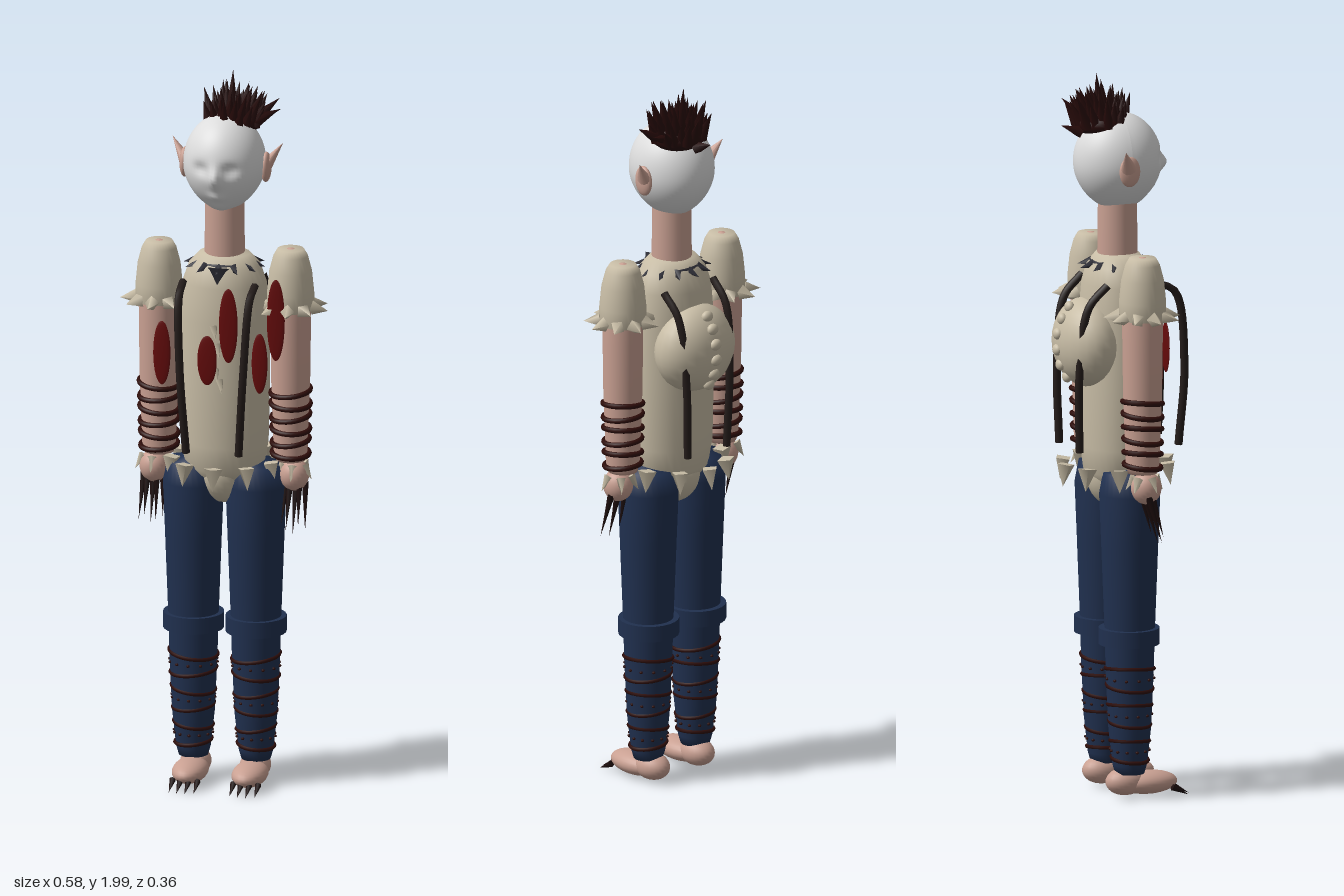
import * as THREE from 'three';

const mat = (name, color, opts = {}) => {
  const m = new THREE.MeshStandardMaterial({ color, ...opts });
  m.name = name;
  return m;
};

export function createModel() {
  const root = new THREE.Group();
  root.name = 'spikedFigure';
  const skin = mat('skin', 0xc9a092), bone = mat('bone', 0xc8bda6), navy = mat('navy', 0x20304f),
    white = mat('paleHead', 0xdcdcdc), hairMat = mat('hair', 0x260908), wrapMat = mat('wrap', 0x2e0d0a),
    claw = mat('claw', 0x1c0d0d), strapMat = mat('strap', 0x241c1a), collarMat = mat('collar', 0x31313a),
    blood = mat('blood', 0x640b0b);

  const add = (name, geo, m, x = 0, y = 0, z = 0, parent = root) => {
    const mesh = new THREE.Mesh(geo, m);
    mesh.name = name;
    mesh.position.set(x, y, z);
    parent.add(mesh);
    return mesh;
  };
  const ball = (name, m, x, y, z, rx, ry, rz, parent) => {
    const b = add(name, new THREE.SphereGeometry(1, 24, 16), m, x, y, z, parent);
    b.scale.set(rx, ry, rz);
    return b;
  };
  const lathe = (pts, seg = 32) => new THREE.LatheGeometry(pts.map(p => new THREE.Vector2(...p)), seg);
  const up = new THREE.Vector3(0, 1, 0);
  // Cone whose base centre sits at (x, y, z) and points along dir
  const spike = (name, m, [x, y, z], dir, len, r, sides = 4, parent = root) => {
    const g = new THREE.ConeGeometry(r, len, sides).translate(0, len / 2, 0);
    const c = add(name, g, m, x, y, z, parent);
    c.quaternion.setFromUnitVectors(up, new THREE.Vector3(...dir).normalize());
    return c;
  };
  let seed = 7;
  const rnd = () => (seed = (seed * 16807) % 2147483647) / 2147483647;

  // Head: ellipsoid narrowed at the chin, with nose, brow, sockets and lips
  const head = new THREE.SphereGeometry(1, 64, 48);
  const p = head.attributes.position;
  const bump = (x, y, cx, cy, sx, sy) => Math.exp(-(((x - cx) / sx) ** 2) - ((y - cy) / sy) ** 2);
  for (let i = 0; i < p.count; i++) {
    let x = p.getX(i), y = p.getY(i), z = p.getZ(i);
    const jaw = y < 0 ? 1 - 0.2 * y * y : 1;
    let d = 0;
    if (z > 0) {
      d = 0.024 * bump(x, y, 0, -0.12, 0.13, 0.2) + 0.01 * bump(x, y, 0, -0.55, 0.2, 0.09)
        - 0.013 * (bump(x, y, 0.36, 0.05, 0.2, 0.13) + bump(x, y, -0.36, 0.05, 0.2, 0.13))
        + 0.01 * bump(x, y, 0, -0.85, 0.25, 0.15);
    }
    p.setXYZ(i, x * 0.112 * jaw, y * 0.134, z * 0.122 * (y < 0 ? 1 - 0.1 * y * y : 1) + d);
  }
  head.computeVertexNormals();
  add('head', head, white, 0, 1.755, 0.006);
  add('neck', new THREE.CylinderGeometry(0.053, 0.055, 0.17, 28), skin, 0, 1.57, 0.006);

  // Hair: tuft of dark spikes and one lock at the back
  const hair = new THREE.Group();
  hair.name = 'hair';
  root.add(hair);
  ball('hairBase', hairMat, 0.015, 1.86, -0.035, 0.075, 0.04, 0.07, hair);
  for (let i = 0; i < 46; i++) {
    const a = i * 2.4, r = Math.sqrt(i / 46);
    const x = Math.cos(a) * r, z = Math.sin(a) * r;
    spike('hairSpike', hairMat, [0.015 + x * 0.068, 1.875 - r * r * 0.02, -0.035 + z * 0.066],
      [x * 0.45 + 0.12, 1, z * 0.4 - 0.12], (0.07 + 0.045 * rnd()) * (1 - 0.2 * r), 0.018, 5, hair);
  }
  spike('hairSpike', hairMat, [0.01, 1.88, -0.04], [0, 1, -0.1], 0.12, 0.02, 5, hair);
  for (const [x, z, dx, dy, dz] of [[0.07, -0.06, 1, 0.9, -0.8], [0.07, -0.02, 1, 0.6, 0], [0.06, -0.04, 1, 0.4, -0.35]])
    spike('sideSpike', hairMat, [x, 1.86, z], [dx, dy, dz], 0.09, 0.02, 5, hair);
  spike('backLock', hairMat, [0.006, 1.84, -0.1], [0, 0.4, -1], 0.06, 0.018, 5, hair);

  // Torso, crotch and back hump with spine knobs
  add('torso', lathe([[0, 0.86], [0.08, 0.865], [0.108, 0.9], [0.12, 0.97], [0.124, 1.15], [0.124, 1.32],
    [0.115, 1.42], [0.098, 1.47], [0.07, 1.5], [0, 1.515]]), bone, 0, 0, 0.006).scale.z = 0.83;
  ball('crotch', bone, 0, 0.885, 0.005, 0.07, 0.09, 0.085);
  ball('hump', bone, 0, 1.26, -0.085, 0.126, 0.122, 0.088);
  for (let i = 0; i < 6; i++) {
    const a = -0.85 + i * 0.36;
    ball('spineKnob', bone, 0, 1.26 + Math.sin(a) * 0.123, -0.085 - Math.cos(a) * 0.086, 0.018, 0.016, 0.013);
  }

  // Collar band with radiating points
  const collar = add('collar', new THREE.TorusGeometry(0.075, 0.01, 8, 32), collarMat, 0, 1.475, 0.006);
  collar.rotation.x = Math.PI / 2;
  collar.scale.y = 0.9;
  for (let i = 0; i < 12; i++) {
    const a = (i / 12) * Math.PI * 2, x = Math.sin(a), z = Math.cos(a);
    spike('collarPoint', collarMat, [x * 0.075, 1.475, 0.006 + z * 0.07], [x, -0.25, z], 0.04, 0.013);
  }
  spike('collarPendant', collarMat, [0, 1.475, 0.08], [0, -1, 0.25], 0.06, 0.03);

  // Loose braces, front and back
  const tube = (name, pts) => add(name, new THREE.TubeGeometry(
    new THREE.CatmullRomCurve3(pts.map(q => new THREE.Vector3(...q))), 24, 0.011, 6), strapMat);
  for (const s of [-1, 1]) {
    tube('frontBrace', [[s * 0.1, 1.43, 0.075], [s * 0.098, 1.4, 0.135], [s * 0.088, 1.2, 0.166], [s * 0.073, 0.97, 0.155]]);
    tube('backBrace', [[s * 0.09, 1.43, -0.06], [s * 0.088, 1.37, -0.115], [s * 0.08, 1.19, -0.138], [s * 0.072, 0.97, -0.135]]);
  }

  // Belt of downward bone teeth
  for (let i = 0; i < 10; i++) {
    const a = (i / 10) * Math.PI * 2, x = Math.sin(a), z = Math.cos(a);
    spike('beltTooth', bone, [x * 0.145, 0.925, z * 0.145], [x * 0.15, -1, z * 0.15], 0.062, 0.026);
  }

  // Blood patches: [x, y, z, half width, half height]
  for (const [x, y, z, w, h] of [[0.04, 1.33, 0.135, 0.026, 0.105], [-0.018, 1.23, 0.14, 0.027, 0.07],
    [-0.162, 1.22, 0.062, 0.024, 0.09], [0.157, 1.335, 0.07, 0.025, 0.115], [0.12, 1.22, 0.105, 0.022, 0.085]])
    ball('bloodPatch', blood, x, y, z, w, h, 0.0048);
  // Bone shards on the chest
  for (const [x, y] of [[-0.005, 1.32], [0.005, 1.27], [0.0, 1.2], [0.012, 1.17]])
    spike('chestShard', bone, [x, y, 0.12], [0.2, -0.6, 0.4], 0.04, 0.013);

  for (const s of [-1, 1]) {
    const side = s > 0 ? 'left' : 'right';

    // Pointed ear
    const ear = new THREE.Group();
    ear.name = side + 'Ear';
    root.add(ear);
    ball('earLobe', skin, s * 0.113, 1.745, -0.004, 0.014, 0.042, 0.03, ear);
    spike('earTip', skin, [s * 0.113, 1.75, -0.008], [s * 0.6, 0.85, -0.35], 0.075, 0.025, 12, ear).scale.x = 0.7;

    // Arm, shoulder cap and its spikes
    const arm = new THREE.Group();
    arm.name = side + 'Arm';
    root.add(arm);
    const ax = s * 0.183;
    add('armLimb', lathe([[0, 0.92], [0.04, 0.925], [0.046, 0.95], [0.053, 1.15], [0.055, 1.3], [0.056, 1.42],
      [0.05, 1.485], [0.036, 1.516], [0, 1.523]]), skin, ax, 0, 0.004, arm);
    add('shoulderCap', lathe([[0.054, 1.35], [0.064, 1.352], [0.064, 1.4], [0.058, 1.46], [0.047, 1.502], [0.036, 1.521],
      [0, 1.521]]), bone, ax, 0, 0.004, arm);
    for (let i = 0; i < 9; i++) {
      const a = (i / 9) * Math.PI * 2 + 0.1, x = Math.cos(a) * s, z = Math.sin(a);
      spike('shoulderSpike', bone, [ax + x * 0.062, 1.36, 0.004 + z * 0.062], [x, -0.12, z], 0.045, 0.021, 4, arm);
    }
    for (let i = 0; i < 6; i++) {
      const ring = add('armWrap', new THREE.TorusGeometry(0.05 + i * 0.0008, 0.0075, 8, 28), wrapMat,
        ax, 0.945 + i * 0.035, 0.004, arm);
      ring.rotation.set(Math.PI / 2 + 0.1, (i % 2 ? 0.1 : -0.05) * s, 0);
    }

    // Hand with wrist teeth and long claws
    ball('hand', skin, s * 0.195, 0.885, 0.01, 0.04, 0.045, 0.042, arm);
    for (let i = 0; i < 5; i++) {
      const a = i * 1.257, x = Math.sin(a), z = Math.cos(a);
      spike('wristTooth', bone, [s * 0.195 + x * 0.03, 0.915, 0.005 + z * 0.03], [x * 0.6, -1, z * 0.6], 0.045, 0.015, 4, arm);
    }
    for (let i = 0; i < 5; i++)
      spike('fingerClaw', claw, [s * (0.172 + i * 0.013), 0.865, 0.005 + (i % 2) * 0.015],
        [s * (i - 2) * 0.03, -1, 0.28], 0.12 + (i % 3) * 0.012, 0.01, 6, arm);

    // Leg, knee cuff and shin wraps
    const leg = new THREE.Group();
    leg.name = side + 'Leg';
    root.add(leg);
    const lx = s * 0.087;
    add('trouserLeg', lathe([[0, 0.07], [0.04, 0.075], [0.047, 0.1], [0.058, 0.2], [0.065, 0.35], [0.068, 0.46],
      [0.077, 0.7], [0.083, 0.85], [0.072, 0.91], [0, 0.925]]), navy, lx, 0, 0.006, leg);
    add('kneeCuff', new THREE.CylinderGeometry(0.083, 0.083, 0.045, 24), navy, lx, 0.457, 0.004, leg);
    for (let i = 0; i < 6; i++) {
      const y = 0.115 + i * 0.05, r = 0.05 + i * 0.0032;
      const ring = add('shinWrap', new THREE.TorusGeometry(r, 0.0055, 6, 32), wrapMat, lx, y, 0.006, leg);
      ring.rotation.set(Math.PI / 2 + 0.06, (i % 2 ? 0.12 : -0.1) * s, 0);
      if (i % 2) for (let j = 0; j < 12; j++) {
        const a = j * Math.PI / 6;
        ball('shinStud', wrapMat, lx + Math.sin(a) * r, y - 0.025, 0.006 + Math.cos(a) * r, 0.005, 0.004, 0.005, leg)
          .geometry = new THREE.SphereGeometry(1, 6, 4);
      }
    }

    // Foot and toe claws
    ball('heel', skin, s * 0.083, 0.052, -0.005, 0.042, 0.038, 0.056, leg);
    ball('foot', skin, s * 0.083, 0.045, 0.06, 0.048, 0.032, 0.085, leg);
    for (let i = 0; i < 4; i++)
      spike('toeClaw', claw, [s * (0.05 + i * 0.023), 0.032, i % 3 ? 0.128 : 0.118], [0, -0.5, 1], 0.052, 0.009, 6, leg);
  }
  return root;
}
